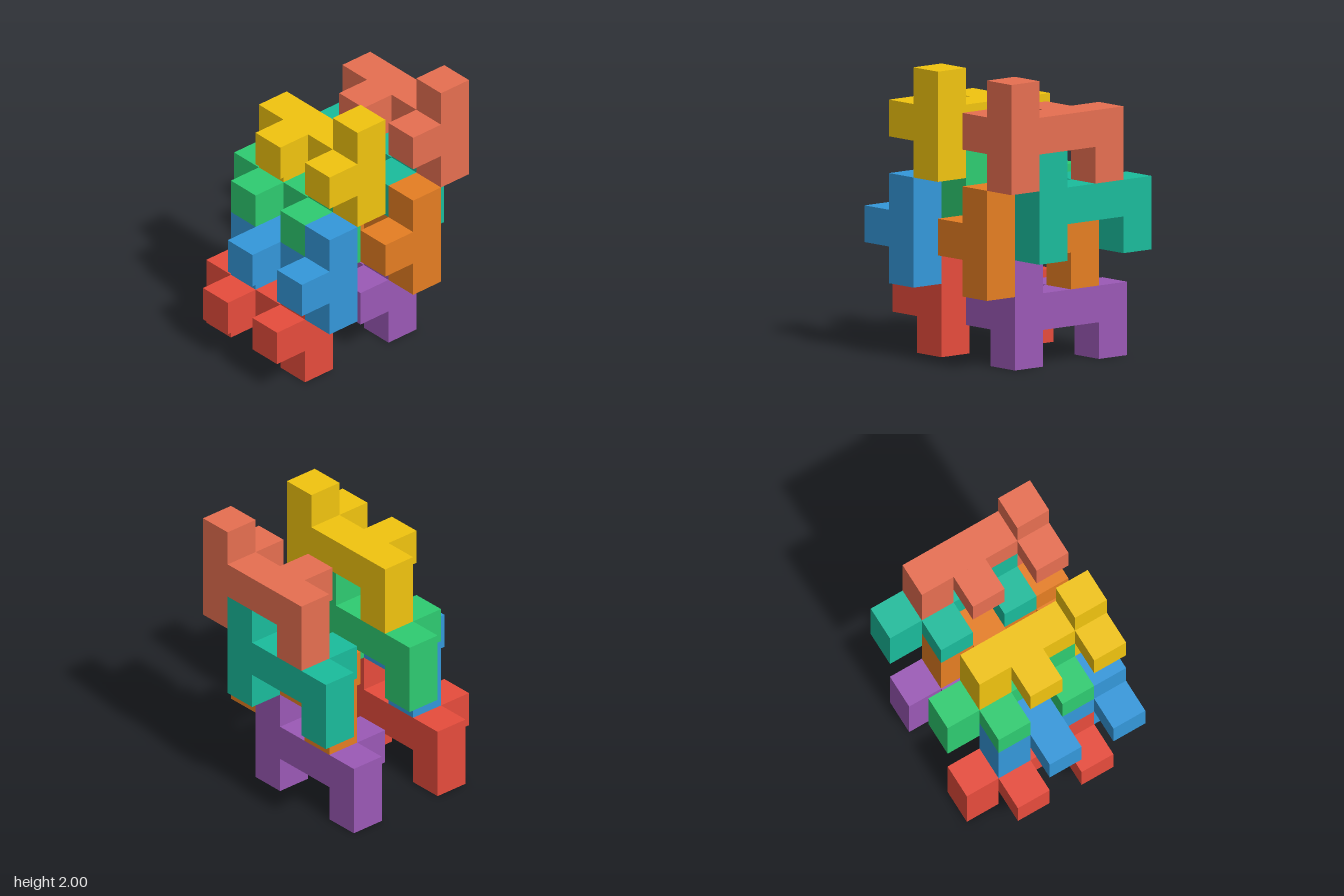
import * as THREE from 'three';

const U = 0.25; // edge of one cube cell

// Puzzle pieces: colour and cell position of the lower back corner of the body
const PIECES = [
  ['redPiece', 0xe74c3c, 1, 0, 0],
  ['purplePiece', 0x9b59b6, 4, 0, 0],
  ['bluePiece', 0x3498db, 1, 2, 1],
  ['orangePiece', 0xe67e22, 4, 2, 1],
  ['greenPiece', 0x2ecc71, 2, 3, 0],
  ['tealPiece', 0x1abc9c, 5, 3, 0],
  ['yellowPiece', 0xf1c40f, 2, 5, 1],
  ['salmonPiece', 0xe76f51, 5, 5, 1],
];

// Body: a side profile (z, y) in cells, one cell thick along x
function bodyGeometry() {
  const outline = [
    [0, 0], [1, 0], [1, 1], [3, 1], [3, 0],
    [4, 0], [4, 3], [3, 3], [3, 2], [0, 2],
  ].map(([z, y]) => new THREE.Vector2(z * U, y * U));
  return new THREE.ExtrudeGeometry(new THREE.Shape(outline), { depth: U, bevelEnabled: false })
    .rotateY(-Math.PI / 2)
    .translate(U, 0, 0);
}

export function createModel() {
  const model = new THREE.Group();
  model.name = 'interlockingPuzzle';
  const body = bodyGeometry();
  const cube = new THREE.BoxGeometry(U, U, U);

  for (const [name, color, i, j, k] of PIECES) {
    const material = new THREE.MeshStandardMaterial({ color });
    const piece = new THREE.Group();
    piece.name = name;

    const bodyMesh = new THREE.Mesh(body, material);
    bodyMesh.name = 'body';
    piece.add(bodyMesh);

    // Two pegs on the right side: mid-bar and front
    for (const [pegName, z] of [['middlePeg', 1.5], ['frontPeg', 3.5]]) {
      const peg = new THREE.Mesh(cube, material);
      peg.name = pegName;
      peg.position.set(-0.5 * U, 1.5 * U, z * U);
      piece.add(peg);
    }

    piece.position.set((i - 3) * U, j * U, (k - 2.5) * U);
    model.add(piece);
  }
  return model;
}
